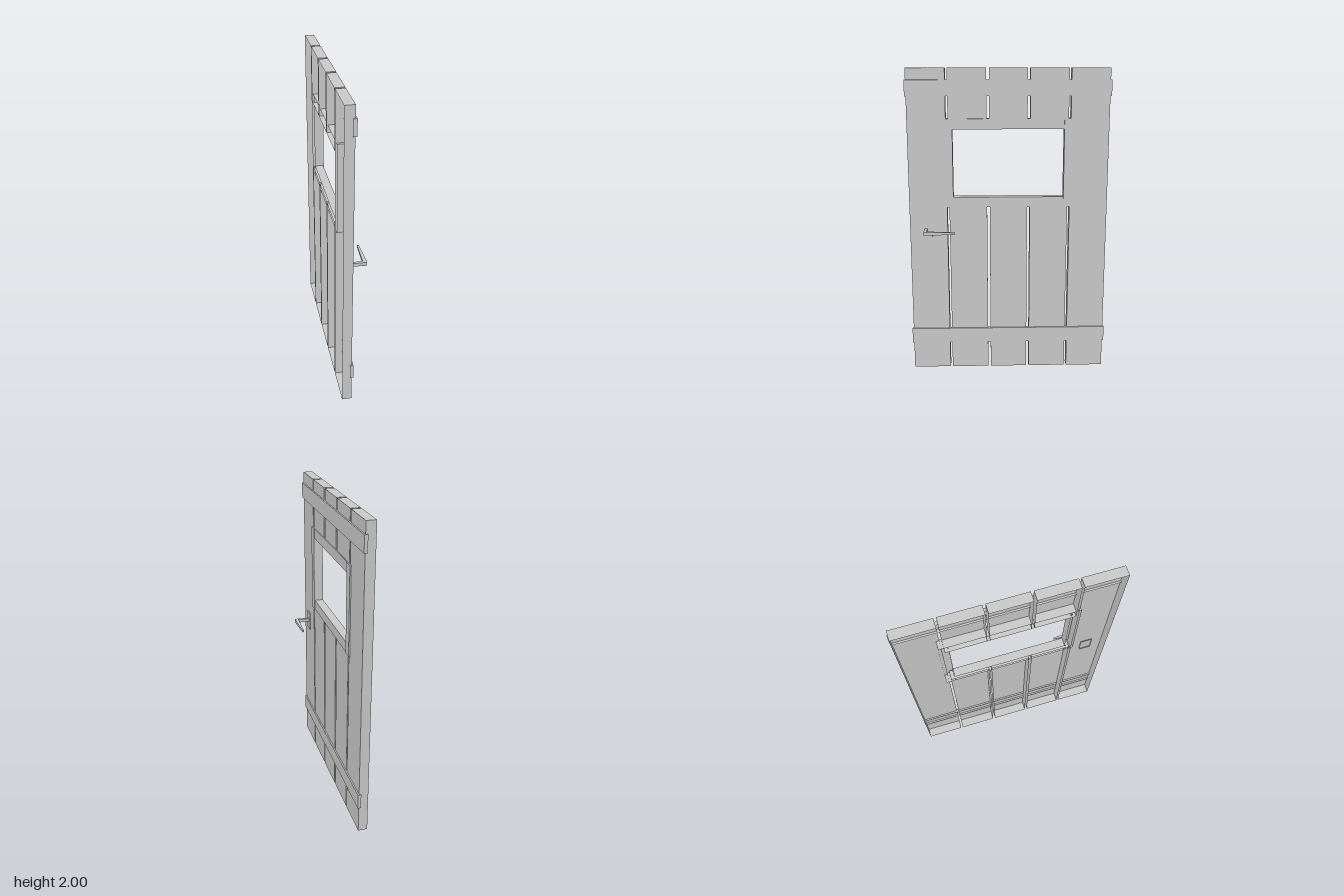
import * as THREE from 'three';

const material = new THREE.MeshStandardMaterial({ color: 0xcccccc, side: THREE.DoubleSide, flatShading: true });

// Board between two corners; an open board has no face on its -x side.
function board(name, [x0, x1], [y0, y1], [z0, z1], open = true) {
  const geometry = new THREE.BoxGeometry(x1 - x0, y1 - y0, z1 - z0);
  if (open) {
    const index = Array.from(geometry.index.array);
    index.splice(6, 6);
    geometry.setIndex(index);
    geometry.clearGroups();
  }
  geometry.translate((x0 + x1) / 2, (y0 + y1) / 2, (z0 + z1) / 2);
  const mesh = new THREE.Mesh(geometry, material);
  mesh.name = name;
  return mesh;
}

function createHandle() {
  const handle = new THREE.Group();
  handle.name = 'handle';
  handle.add(board('handlePlate', [-0.028, -0.019], [0.905, 1.03], [0.495, 0.57]));
  handle.add(board('handleStem', [-0.02, 0.06], [0.957, 0.979], [0.528, 0.545], false));

  // Lever narrows towards its free end
  const lever = board('handleLever', [0.057, 0.081], [0.956, 0.98], [0.345, 0.546], false);
  const p = lever.geometry.attributes.position;
  for (let i = 0; i < p.count; i++) {
    if (p.getZ(i) < 0.4) {
      p.setX(i, 0.069 + (p.getX(i) - 0.069) * 0.45);
      p.setY(i, 0.968 + (p.getY(i) - 0.968) * 0.5);
    }
  }
  lever.geometry.computeVertexNormals();
  handle.add(lever);
  return handle;
}

export function createModel() {
  const door = new THREE.Group();
  door.name = 'plankDoor';
  const depth = [-0.083, -0.023];

  // Outer planks run full height
  door.add(board('outerPlankLeft', depth, [0, 2], [0.396, 0.64]));
  door.add(board('outerPlankRight', depth, [0, 2], [-0.64, -0.396]));

  // Inner planks are interrupted by the window
  for (const span of [[-0.382, -0.138], [-0.121, 0.121], [0.138, 0.382]]) {
    door.add(board('lowerPlank', depth, [0, 1.17], span));
    door.add(board('upperPlank', depth, [1.64, 2], span));
  }

  // Window frame
  const frame = new THREE.Group();
  frame.name = 'windowFrame';
  for (const y of [[1.12, 1.186], [1.622, 1.688]])
    frame.add(board('frameRail', [-0.075, -0.02], y, [-0.36, 0.36]));
  for (const z of [[-0.414, -0.355], [0.355, 0.414]])
    frame.add(board('frameStile', [-0.075, -0.015], [1.12, 1.688], z));
  door.add(frame);

  // Cross battens
  for (const y of [[0.183, 0.283], [1.828, 1.928]])
    door.add(board('batten', [-0.035, -0.014], y, [-0.648, 0.648]));

  door.add(createHandle());
  return door;
}
